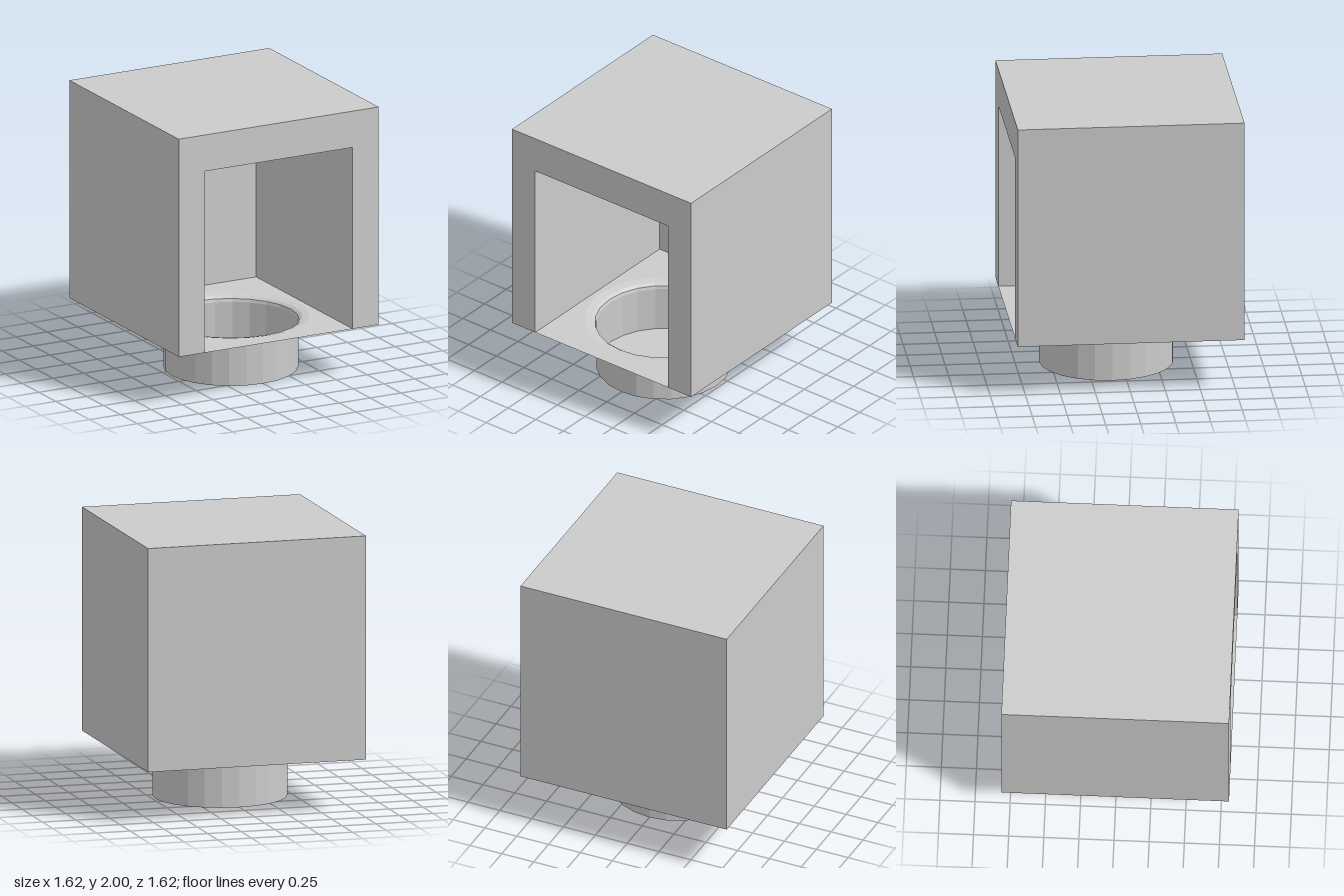
import * as THREE from 'three';

const HALF = 0.81, TOP = 2, BASE = 0.38;          // outer block
const OPEN = 0.6, CEILING = 1.73, BACK = -0.62;   // inner niche
const CUP_Z = 0.1, CUP_R = 0.48, RIM_R = 0.56, SIDES = 24;

export function createModel() {
  const group = new THREE.Group();
  const solid = new THREE.MeshStandardMaterial({ color: 0xcccccc, flatShading: true });
  const sheet = new THREE.MeshStandardMaterial({ color: 0xcccccc, flatShading: true, side: THREE.DoubleSide });

  const add = (name, geometry, material) => {
    const mesh = new THREE.Mesh(geometry, material);
    mesh.name = name;
    group.add(mesh);
    return mesh;
  };

  // Side walls and roof: an arch outline run through the full depth
  const arch = new THREE.Shape([
    [-HALF, BASE], [-OPEN, BASE], [-OPEN, CEILING], [OPEN, CEILING],
    [OPEN, BASE], [HALF, BASE], [HALF, TOP], [-HALF, TOP],
  ].map(([x, y]) => new THREE.Vector2(x, y)));
  const walls = new THREE.ExtrudeGeometry(arch, { depth: 2 * HALF, bevelEnabled: false });
  add('wallsAndRoof', walls, solid).position.z = -HALF;

  // Back wall closing the niche
  const back = add('backWall', new THREE.BoxGeometry(2 * OPEN, CEILING - BASE, BACK + HALF), solid);
  back.position.set(0, (CEILING + BASE) / 2, (BACK - HALF) / 2);

  // Thin floor with a round hole for the cup (shape y becomes -z)
  const floor = new THREE.Shape([
    [-OPEN, -HALF], [OPEN, -HALF], [OPEN, -BACK], [-OPEN, -BACK],
  ].map(([x, y]) => new THREE.Vector2(x, y)));
  const hole = [];
  for (let i = 0; i < SIDES; i++) {
    const a = (i / SIDES) * Math.PI * 2;
    hole.push(new THREE.Vector2(RIM_R * Math.sin(a), RIM_R * Math.cos(a) - CUP_Z));
  }
  floor.holes.push(new THREE.Path(hole));
  const floorGeometry = new THREE.ShapeGeometry(floor).rotateX(-Math.PI / 2);
  add('floor', floorGeometry, sheet).position.y = BASE;

  // Round cup below the floor, with a flared rim
  const profile = [
    [0, 0], [CUP_R, 0], [CUP_R, 0.33], [0.487, 0.353], [0.51, 0.369], [RIM_R, BASE],
  ].map(([r, y]) => new THREE.Vector2(r, y));
  add('cup', new THREE.LatheGeometry(profile, SIDES), sheet).position.z = CUP_Z;

  return group;
}
